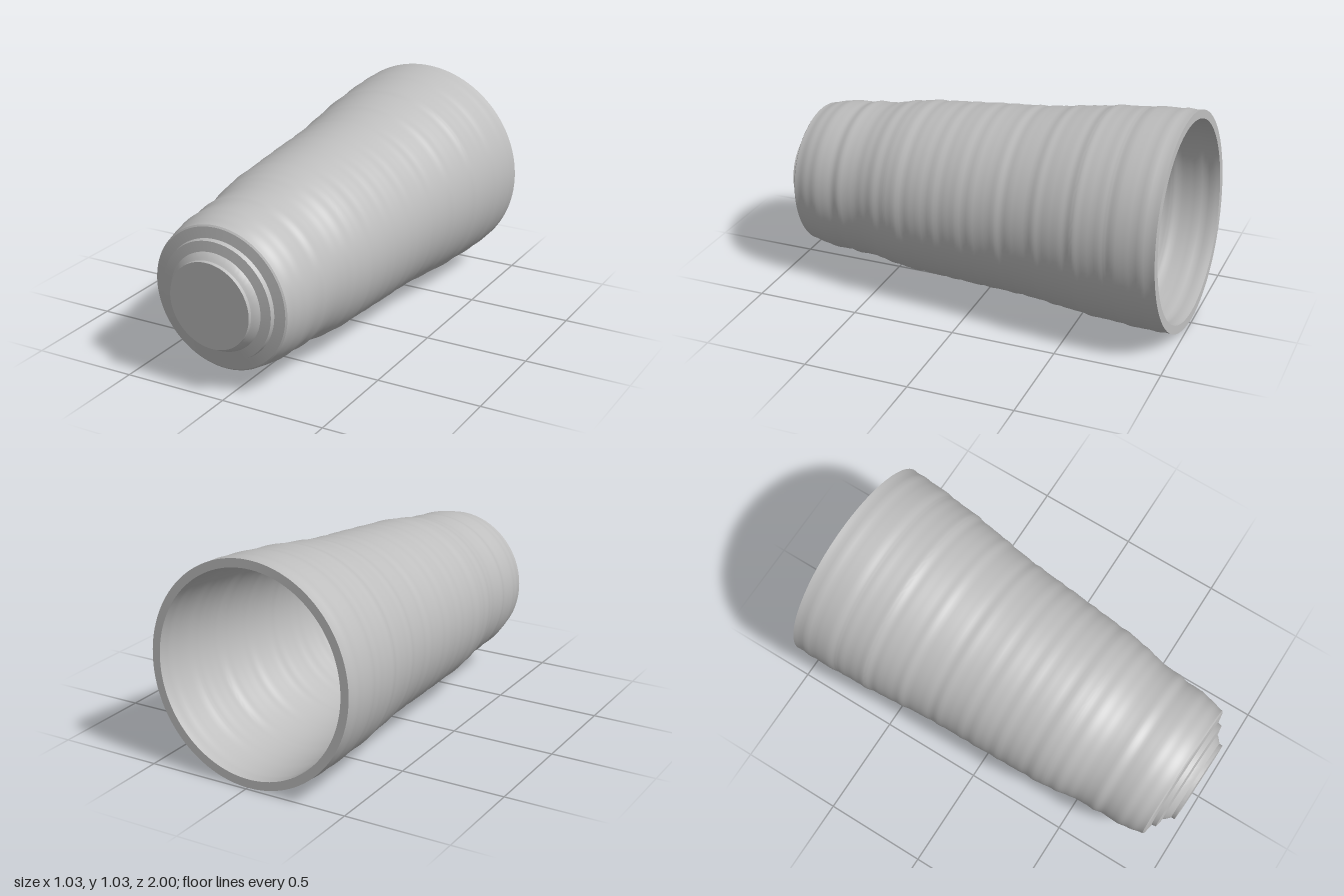
import * as THREE from 'three';
import { toCreasedNormals } from 'three/addons/utils/BufferGeometryUtils.js';

const SIDES = 128;

// Outer wall as [position along axis, radius], from open rim to shoulder
const wall = [
  [-0.971, 0.514], [-0.87, 0.512], [-0.76, 0.507], [-0.71, 0.5], [-0.62, 0.496],
  [-0.57, 0.491], [-0.52, 0.483], [-0.42, 0.473], [-0.36, 0.464], [-0.25, 0.452],
  [-0.18, 0.447], [-0.08, 0.441], [0.02, 0.436], [0.1, 0.43], [0.2, 0.424],
  [0.28, 0.418], [0.37, 0.413], [0.41, 0.405], [0.48, 0.396], [0.54, 0.381],
  [0.64, 0.376], [0.7, 0.368], [0.79, 0.366], [0.85, 0.352], [0.9, 0.343],
];

// Shallow uneven turning marks
const ripple = (t) => 0.0012 * Math.sin(t * 61) + 0.001 * Math.sin(t * 97 + 1.3);

function wallPoints(offset, end) {
  const curve = new THREE.CatmullRomCurve3(wall.map(([t, r]) => new THREE.Vector3(r, t, 0)));
  return curve.getPoints(140)
    .filter((p) => p.y <= end)
    .map((p) => new THREE.Vector2(p.x - offset + ripple(p.y), p.y));
}

function lathe(name, points, material) {
  const geometry = toCreasedNormals(new THREE.LatheGeometry(points, SIDES), 0.45);
  const mesh = new THREE.Mesh(geometry, material);
  mesh.name = name;
  return mesh;
}

export function createModel() {
  const clay = new THREE.MeshStandardMaterial({ color: 0xbebebe });
  clay.name = 'plain grey';
  const group = new THREE.Group();
  group.name = 'ribbedCup';

  const outer = wallPoints(0, 1);
  const inner = wallPoints(0.04, 0.85).reverse();
  const v = (r, t) => new THREE.Vector2(r, t);

  // Inner floor and wall, rim, outer wall and base shoulder in one shell
  const shell = [
    v(0, 0.85), ...inner, ...outer,
    v(0.335, 0.906), v(0.285, 0.914), v(0.281, 0.935), v(0.232, 0.943),
  ];
  group.add(lathe('cupWall', shell, clay));

  // Flared foot with a flat end
  const foot = [v(0.235, 0.941), v(0.23, 0.95), v(0.214, 0.965), v(0.206, 0.972), v(0.205, 0.989), v(0, 0.989)];
  group.add(lathe('foot', foot, clay));

  // Lean the turning axis towards the front
  const axis = new THREE.Vector3(-0.033, -0.0454, 1).normalize();
  group.quaternion.setFromUnitVectors(new THREE.Vector3(0, 1, 0), axis);
  group.position.set(-0.032, 0.472, 0);

  const model = new THREE.Group();
  model.name = 'model';
  model.add(group);
  return model;
}
